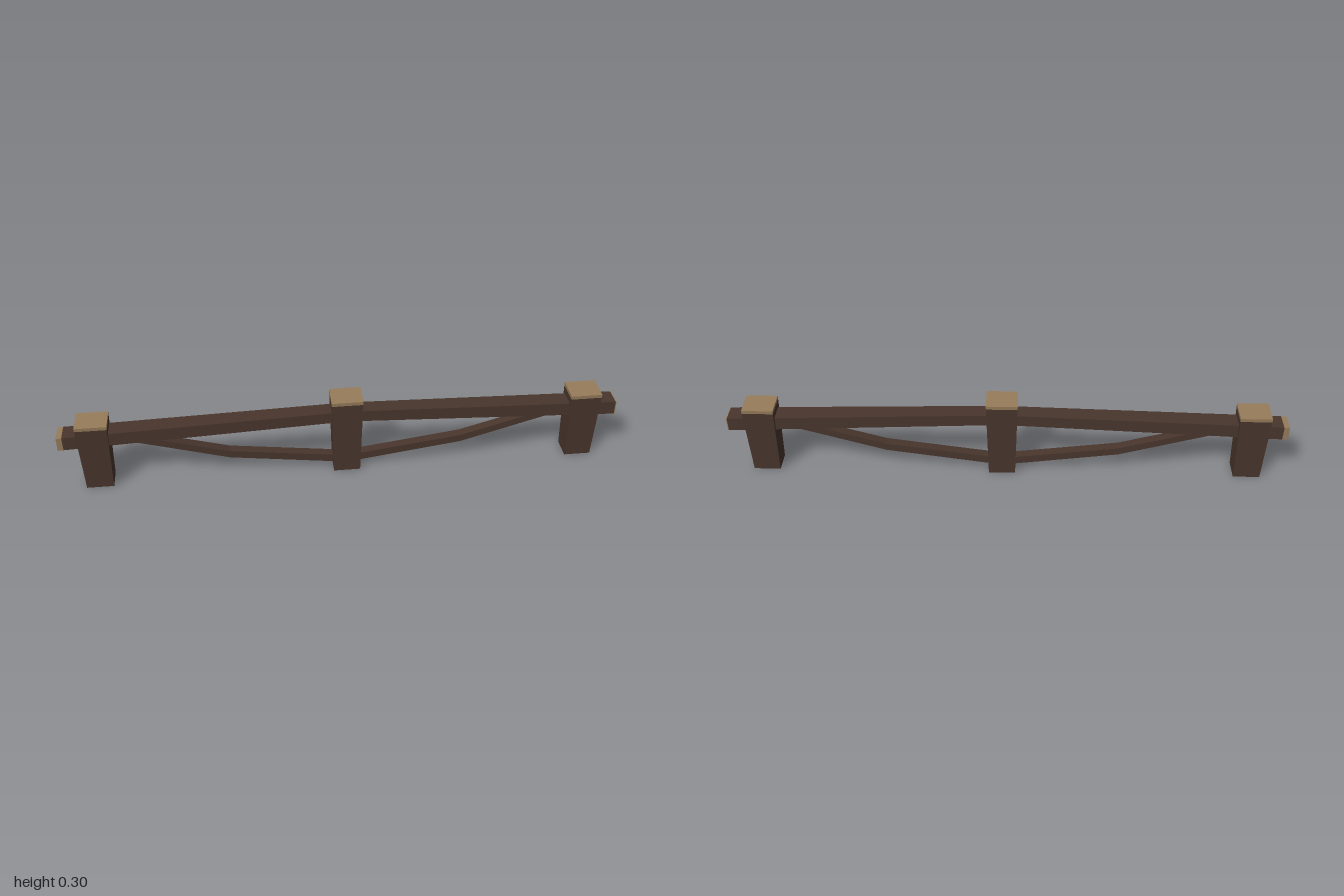
import * as THREE from 'three';

const wood = new THREE.MeshStandardMaterial({ color: 0x49362d });
wood.name = 'dark wood';
const cutWood = new THREE.MeshStandardMaterial({ color: 0x967c5a });
cutWood.name = 'cut wood';

// Rectangular bar through sections [x, centre y, half height, half depth]
function bar(sections) {
  const n = sections.length - 1;
  const g = new THREE.BoxGeometry(n, 2, 2, n, 1, 1);
  const p = g.attributes.position;
  for (let i = 0; i < p.count; i++) {
    const [x, y, hy, hz] = sections[Math.round(p.getX(i) + n / 2)];
    p.setXYZ(i, x, y + p.getY(i) * hy, p.getZ(i) * hz);
  }
  const flat = g.toNonIndexed();
  flat.computeVertexNormals();
  return flat;
}

// Upright box that widens from bottom (y0) to top (y1)
function taperedBox(y0, y1, bottom, top) {
  const g = new THREE.BoxGeometry(2, 2, 2);
  const p = g.attributes.position;
  for (let i = 0; i < p.count; i++) {
    const up = p.getY(i) > 0;
    const [hx, hz] = up ? top : bottom;
    p.setXYZ(i, p.getX(i) * hx, up ? y1 : y0, p.getZ(i) * hz);
  }
  const flat = g.toNonIndexed();
  flat.computeVertexNormals();
  return flat;
}

function add(parent, name, geometry, material) {
  const mesh = new THREE.Mesh(geometry, material);
  mesh.name = name;
  parent.add(mesh);
  return mesh;
}

function post(name, x, height) {
  const group = new THREE.Group();
  group.name = name;
  group.position.x = x;
  const capY = height - 0.013;
  add(group, 'shaft', taperedBox(0, capY, [0.048, 0.04], [0.0555, 0.0465]), wood);
  add(group, 'cutTop', taperedBox(capY, height, [0.0555, 0.0465], [0.056, 0.047]), cutWood);
  return group;
}

export function createModel() {
  const model = new THREE.Group();
  model.name = 'fence';

  // Three posts with pale sawn tops
  model.add(post('rightPost', -0.875, 0.268));
  model.add(post('middlePost', 0.016, 0.304));
  model.add(post('leftPost', 0.88, 0.268));

  // Top rail, bent upward at the middle post, with sawn ends
  add(model, 'rail', bar([
    [-0.98, 0.197, 0.026, 0.034],
    [0.016, 0.232, 0.021, 0.029],
    [0.997, 0.197, 0.026, 0.034],
  ]), wood);
  add(model, 'rightRailEnd', bar([
    [-1, 0.196, 0.026, 0.034],
    [-0.98, 0.197, 0.026, 0.034],
  ]), cutWood);
  add(model, 'leftRailEnd', bar([
    [0.997, 0.197, 0.026, 0.034],
    [1, 0.197, 0.026, 0.034],
  ]), cutWood);

  // Sagging brace from the rail down to the foot of the middle post
  add(model, 'brace', bar([
    [-0.81, 0.207, 0.013, 0.017],
    [-0.405, 0.09, 0.014, 0.017],
    [0.016, 0.034, 0.015, 0.017],
    [0.436, 0.093, 0.014, 0.017],
    [0.82, 0.205, 0.013, 0.017],
  ]), wood);

  return model;
}
